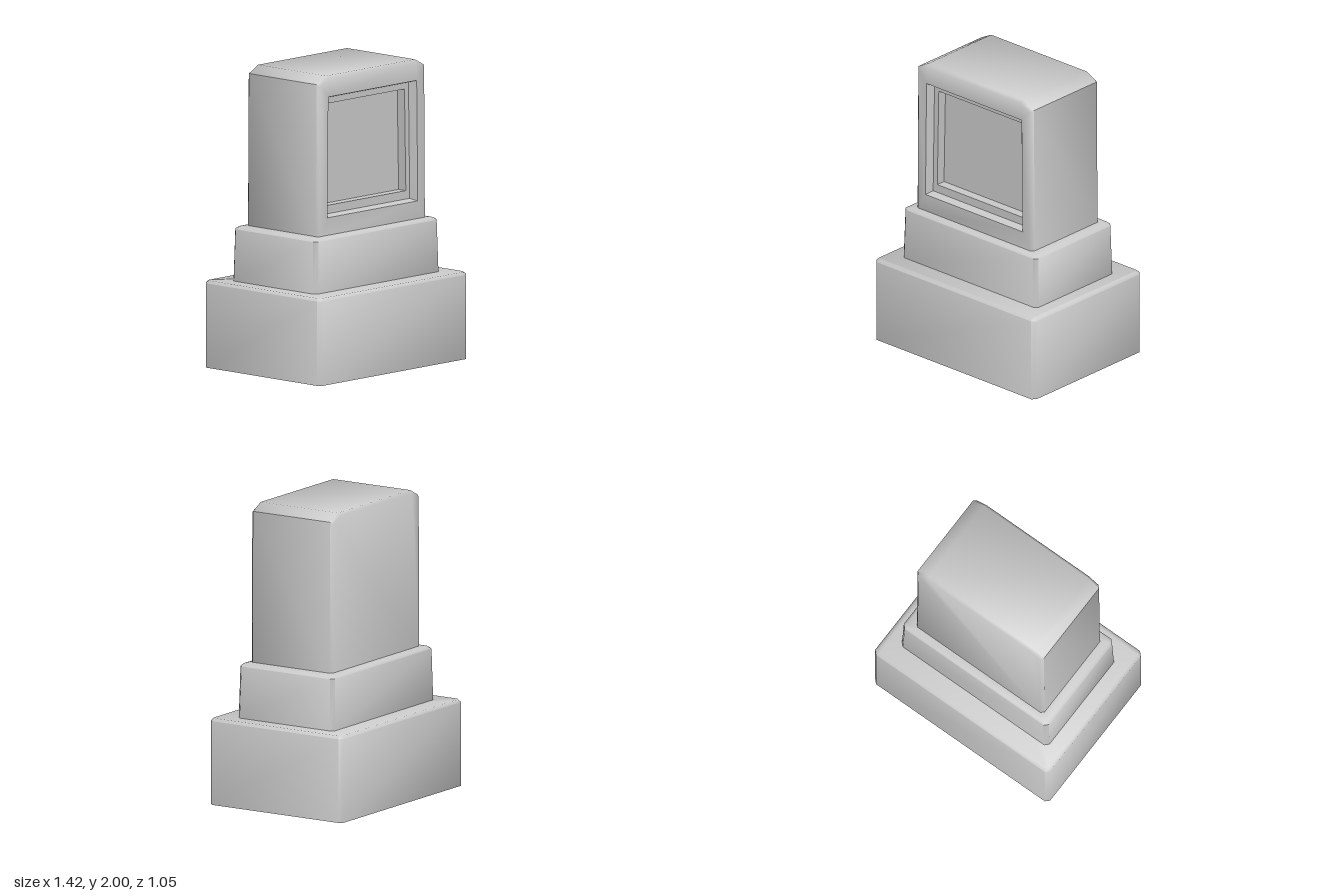
import * as THREE from 'three';
import { toCreasedNormals } from 'three/addons/utils/BufferGeometryUtils.js';

const material = new THREE.MeshStandardMaterial({ color: 0xcccccc });

// Skins a stack of equally long rings, each counter-clockwise seen from the end, and caps both ends
function loft(name, rings) {
  const positions = [];
  const triangle = (a, b, c) => {
    const area = b.clone().sub(a).cross(c.clone().sub(a)).length();
    if (area > 1e-9) positions.push(...a, ...b, ...c);
  };
  const count = rings[0].length;
  for (let i = 0; i < rings.length - 1; i++) {
    for (let j = 0; j < count; j++) {
      const k = (j + 1) % count;
      triangle(rings[i][j], rings[i][k], rings[i + 1][k]);
      triangle(rings[i][j], rings[i + 1][k], rings[i + 1][j]);
    }
  }
  const first = rings[0], last = rings[rings.length - 1];
  for (let j = 1; j < count - 1; j++) {
    triangle(first[0], first[j + 1], first[j]);
    triangle(last[0], last[j], last[j + 1]);
  }
  const geometry = new THREE.BufferGeometry();
  geometry.setAttribute('position', new THREE.Float32BufferAttribute(positions, 3));
  const mesh = new THREE.Mesh(toCreasedNormals(geometry, 0.95), material);
  mesh.name = name;
  return mesh;
}

// Horizontal rectangle with cut corners
const slab = (y, x, z, cut) => [
  [x - cut, z], [x, z - cut], [x, -z + cut], [x - cut, -z],
  [-x + cut, -z], [-x, -z + cut], [-x, z - cut], [-x + cut, z],
].map(([px, pz]) => new THREE.Vector3(px, y, pz));

// Upright outline of the headstone with sloped top corners
const outline = (z, inset) => [
  [-0.52 + inset, 0.93], [0.52 - inset, 0.93], [0.513 - inset, 1.953 - inset / 2],
  [0.425 - inset / 2, 2 - inset], [-0.425 + inset / 2, 2 - inset], [-0.513 + inset, 1.953 - inset / 2],
].map(([x, y]) => new THREE.Vector3(x, y, z));

// Slightly tapered four-sided opening; top corners are doubled to match the outline
const opening = (z, bottomX, topX, bottomY, topY) => [
  [-bottomX, bottomY], [bottomX, bottomY], [topX, topY],
  [topX, topY], [-topX, topY], [-topX, topY],
].map(([x, y]) => new THREE.Vector3(x, y, z));

export function createModel() {
  const group = new THREE.Group();
  group.name = 'steppedMonument';

  // Wide bottom block
  group.add(loft('base', [
    slab(0, 0.712, 0.524, 0.025),
    slab(0.56, 0.712, 0.524, 0.025),
    slab(0.578, 0.695, 0.507, 0.02),
  ]));

  // Tapered middle step
  group.add(loft('plinth', [
    slab(0.57, 0.6, 0.38, 0.025),
    slab(0.922, 0.59, 0.373, 0.025),
    slab(0.936, 0.57, 0.36, 0.025),
    slab(0.945, 0.51, 0.32, 0.025),
  ]));

  // Headstone, lofted from back to front and on into the stepped panel recess
  group.add(loft('headstone', [
    outline(-0.32, 0.02),
    outline(-0.3, 0),
    outline(0.308, 0),
    outline(0.328, 0.02),
    opening(0.328, 0.432, 0.422, 1.06, 1.862),
    opening(0.27, 0.417, 0.405, 1.072, 1.845),
    opening(0.27, 0.38, 0.367, 1.128, 1.805),
    opening(0.205, 0.38, 0.367, 1.128, 1.805),
  ]));

  return group;
}
